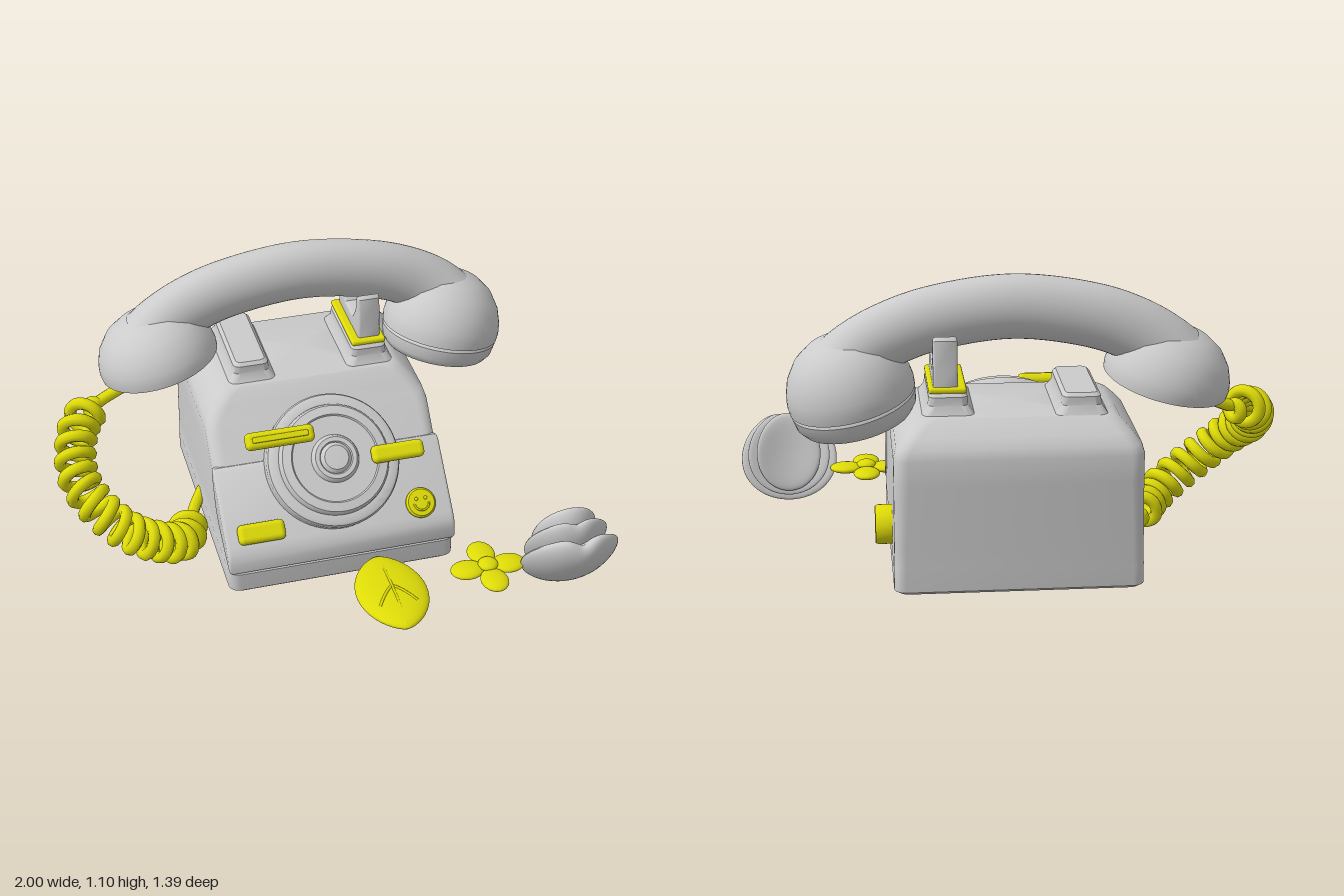
import * as THREE from 'three';
import { toCreasedNormals } from 'three/addons/utils/BufferGeometryUtils.js';
import { RoundedBoxGeometry } from 'three/addons/geometries/RoundedBoxGeometry.js';
import { ParametricGeometry } from 'three/addons/geometries/ParametricGeometry.js';

const grey = new THREE.MeshStandardMaterial({ color: 0xcbcbcb, name: 'pale grey' });
const yellow = new THREE.MeshStandardMaterial({ color: 0xdedb08, name: 'yellow' });
const V = (x, y, z) => new THREE.Vector3(x, y, z);

function add(parent, name, geometry, material, x = 0, y = 0, z = 0) {
  const mesh = new THREE.Mesh(geometry, material);
  mesh.name = name;
  mesh.position.set(x, y, z);
  parent.add(mesh);
  return mesh;
}

function group(parent, name, x = 0, y = 0, z = 0) {
  const g = new THREE.Group();
  g.name = name;
  g.position.set(x, y, z);
  parent.add(g);
  return g;
}

function lathe(profile, segments = 56) {
  const points = profile.map(([r, y]) => new THREE.Vector2(r, y));
  return toCreasedNormals(new THREE.LatheGeometry(points, segments), 0.6);
}

// Stacks rounded rectangles: each section is [y, x0, x1, z0, z1, cornerRadius]
function loft(sections) {
  const pos = [], index = [], corner = 6, n = 4 * (corner + 1);
  for (const [y, x0, x1, z0, z1, r] of sections) {
    const centres = [[x1 - r, z1 - r], [x0 + r, z1 - r], [x0 + r, z0 + r], [x1 - r, z0 + r]];
    centres.forEach(([cx, cz], q) => {
      for (let k = 0; k <= corner; k++) {
        const a = (q + k / corner) * Math.PI / 2;
        pos.push(cx + r * Math.cos(a), y, cz + r * Math.sin(a));
      }
    });
  }
  const last = (sections.length - 1) * n, bottom = sections.length * n;
  for (const [y, x0, x1, z0, z1] of [sections[0], sections[sections.length - 1]]) {
    pos.push((x0 + x1) / 2, y, (z0 + z1) / 2);
  }
  for (let j = 0; j < n; j++) {
    const k = (j + 1) % n;
    for (let s = 0; s < last; s += n) {
      index.push(s + j, s + n + j, s + k, s + k, s + n + j, s + n + k);
    }
    index.push(bottom, j, k, bottom + 1, last + k, last + j);
  }
  const g = new THREE.BufferGeometry();
  g.setAttribute('position', new THREE.Float32BufferAttribute(pos, 3));
  g.setIndex(index);
  return toCreasedNormals(g, 0.6);
}

// Extrudes a [z, y] outline from x0 to x1 with softened edges
function extrudeX(outline, x0, x1, bevel) {
  const shape = new THREE.Shape(outline.map(([z, y]) => new THREE.Vector2(-z, y)));
  const g = new THREE.ExtrudeGeometry(shape, {
    depth: x1 - x0 - 2 * bevel, bevelSize: bevel, bevelThickness: bevel, bevelOffset: -bevel, bevelSegments: 4,
  });
  g.rotateY(Math.PI / 2).translate(x0 + bevel, 0, 0);
  return toCreasedNormals(g, 0.6);
}

// Frame on the 45 degree front slope: u runs up the slope, d outwards
function onSlope(parent, name, x, u, d) {
  const g = group(parent, name, x, (d + u) * Math.SQRT1_2, (d - u) * Math.SQRT1_2);
  g.rotation.x = Math.PI / 4;
  return g;
}

function buildBody(root) {
  const body = group(root, 'body');
  add(body, 'housing', loft([
    [0.05, -0.42, 0.42, -0.69, 0.27, 0.04], [0.06, -0.433, 0.433, -0.7, 0.28, 0.04],
    [0.135, -0.433, 0.433, -0.7, 0.28, 0.04], [0.142, -0.431, 0.431, -0.7, 0.268, 0.04],
    [0.21, -0.431, 0.431, -0.7, 0.25, 0.04], [0.44, -0.43, 0.43, -0.7, 0.025, 0.05],
    [0.53, -0.43, 0.43, -0.7, -0.06, 0.05], [0.565, -0.42, 0.42, -0.69, -0.095, 0.05],
    [0.6, -0.39, 0.39, -0.66, -0.13, 0.05], [0.635, -0.355, 0.355, -0.62, -0.16, 0.05],
    [0.65, -0.33, 0.33, -0.6, -0.18, 0.05],
  ]), grey);
  add(body, 'frontPanel', extrudeX([
    [0.282, 0.145], [0.282, 0.19], [0.27, 0.222], [0.25, 0.245], [0.045, 0.437], [0.025, 0.445],
    [0.008, 0.44], [0.005, 0.42], [0.035, 0.33], [0.06, 0.28], [0.11, 0.235],
  ], -0.436, 0.436, 0.014), grey);

  // Cradle stands: a plain one and one with a rim and two horns
  const stand = (x, z0, z1) => loft([
    [0.6, x - 0.12, x + 0.12, z0 - 0.04, z1 + 0.05, 0.03], [0.65, x - 0.09, x + 0.09, z0 - 0.02, z1 + 0.02, 0.03],
    [0.68, x - 0.07, x + 0.07, z0, z1, 0.025], [0.71, x - 0.067, x + 0.067, z0, z1, 0.025],
    [0.722, x - 0.055, x + 0.055, z0 + 0.012, z1 - 0.012, 0.02],
  ]);
  add(body, 'plainCradle', stand(-0.222, -0.58, -0.22), grey);
  add(body, 'hornCradle', stand(0.235, -0.55, -0.22), grey);
  add(body, 'cradleRim', new RoundedBoxGeometry(0.132, 0.022, 0.315, 3, 0.01), yellow, 0.236, 0.73, -0.385);
  add(body, 'cradleHorns', extrudeX([
    [-0.53, 0.73], [-0.25, 0.73], [-0.25, 0.8], [-0.262, 0.9], [-0.275, 0.912], [-0.292, 0.9],
    [-0.3, 0.84], [-0.34, 0.79], [-0.44, 0.79], [-0.48, 0.84], [-0.488, 0.9], [-0.502, 0.912],
    [-0.518, 0.9], [-0.53, 0.8],
  ], 0.2, 0.285, 0.01), grey);
}

function buildDial(root) {
  const dial = onSlope(root, 'dial', 0.007, 0.252, 0.33);
  add(dial, 'dialDisc', lathe([
    [0, -0.02], [0.25, -0.02], [0.252, 0.06], [0.246, 0.074], [0.235, 0.08], [0.208, 0.08], [0.205, 0.1],
    [0.198, 0.108], [0.165, 0.112], [0.16, 0.106], [0.09, 0.106], [0.085, 0.12], [0.078, 0.127],
    [0.062, 0.127], [0.058, 0.12], [0.054, 0.127], [0.045, 0.135], [0, 0.137],
  ], 72), grey);
  // Bars across the slope
  [[-0.19, 0.357, 0.465, 0.26, 0.065], [0.24, 0.24, 0.452, 0.2, 0.066], [-0.3, 0.035, 0.36, 0.178, 0.075]]
    .forEach(([x, u, d, w, h], i) => {
      const bar = onSlope(root, 'bar' + (i + 1), x, u, d);
      add(bar, 'barBlock', new RoundedBoxGeometry(w, 0.045, h, 4, 0.02), yellow);
      if (i === 0) add(bar, 'barRidge', new RoundedBoxGeometry(w - 0.05, 0.012, 0.022, 3, 0.005), yellow, 0, 0.024, 0);
    });
  // Smiling button
  const smile = onSlope(root, 'smileButton', 0.315, 0.046, 0.34);
  add(smile, 'button', lathe([[0, -0.01], [0.056, -0.01], [0.057, 0.018], [0.05, 0.027], [0, 0.03]], 40), yellow);
  for (const side of [-1, 1]) {
    add(smile, 'eye', new THREE.SphereGeometry(0.007, 12, 8), yellow, side * 0.018, 0.029, -0.015);
  }
  const mouth = new THREE.TorusGeometry(0.028, 0.004, 6, 20, Math.PI);
  add(smile, 'mouth', mouth.rotateZ(Math.PI).rotateX(-Math.PI / 2), yellow, 0, 0.029, 0.002);
}

function buildSideKnob(root) {
  const knob = group(root, 'sideKnob', 0.43, 0.218, -0.44);
  knob.rotation.z = -Math.PI / 2;
  add(knob, 'knobDisc', lathe([[0, -0.01], [0.07, -0.01], [0.07, 0.05], [0.066, 0.06], [0.06, 0.06],
    [0.056, 0.05], [0, 0.052]], 40), yellow);
  for (let i = 0; i < 6; i++) {
    const curve = new THREE.QuadraticBezierCurve3(V(0.006, 0.052, 0), V(0.03, 0.055, 0.024), V(0.057, 0.053, 0.004));
    add(knob, 'swirl', new THREE.TubeGeometry(curve, 10, 0.006, 6), yellow).rotation.y = i * Math.PI / 3;
  }
}

function buildHandset(root) {
  const handset = group(root, 'handset');
  const path = new THREE.CatmullRomCurve3([
    V(-0.585, 0.79, 0), V(-0.52, 0.842, 0), V(-0.42, 0.9, 0), V(-0.28, 0.95, 0), V(0, 0.988, 0),
    V(0.28, 0.95, 0), V(0.43, 0.897, 0), V(0.53, 0.84, 0), V(0.6, 0.78, 0),
  ]);
  // Grip: an arched oval tube that widens into the bells
  add(handset, 'grip', new ParametricGeometry((u, v, target) => {
    const p = path.getPoint(u), t = path.getTangent(u), a = v * Math.PI * 2;
    const k = Math.abs(2 * u - 1) ** 4, c = 0.114 * Math.cos(a);
    target.set(p.x - t.y * c, p.y + t.x * c, -0.395 + 0.03 * k - (0.09 + 0.05 * k) * Math.sin(a));
  }, 56, 36), grey);

  const dome = [[0.225, 0], [0.227, 0.025], [0.222, 0.055], [0.205, 0.1], [0.168, 0.148], [0.115, 0.183],
    [0.06, 0.198], [0, 0.202]];
  const left = add(handset, 'earBell', lathe([[0, 0.006], [0.2, 0.006], [0.212, -0.004], ...dome]),
    grey, -0.545, 0.7, -0.36);
  left.rotation.set(-0.13, 0, 0.22);
  const right = group(handset, 'mouthBell', 0.56, 0.665, -0.36);
  right.rotation.set(-0.13, 0, -0.22);
  add(right, 'mouthDome', lathe([[0, 0], ...dome]), grey).scale.y = 1.15;
  add(right, 'mouthCap', lathe([[0, -0.07], [0.11, -0.07], [0.125, -0.09], [0.165, -0.093], [0.198, -0.08],
    [0.216, -0.055], [0.223, -0.012], [0.218, -0.002], [0, 0]]), grey);
}

function buildCord(root) {
  const path = new THREE.CatmullRomCurve3([
    V(-0.6, 0.69, -0.34), V(-0.68, 0.635, -0.33), V(-0.8, 0.58, -0.31), V(-0.88, 0.55, -0.23), V(-0.92, 0.45, -0.07),
    V(-0.87, 0.37, 0.04), V(-0.77, 0.27, 0.09), V(-0.65, 0.18, 0.07), V(-0.56, 0.12, 0.01),
    V(-0.51, 0.105, -0.09), V(-0.47, 0.11, -0.19), V(-0.42, 0.12, -0.28),
  ]);
  const steps = 420, frames = path.computeFrenetFrames(steps, false), points = [];
  for (let i = 0; i <= steps; i++) {
    const t = i / steps, a = t * 23 * Math.PI * 2;
    // Coiled in the middle, straight at both ends
    const r = 0.057 * THREE.MathUtils.smoothstep(t, 0.15, 0.2) * (1 - THREE.MathUtils.smoothstep(t, 0.84, 0.9));
    points.push(path.getPointAt(t)
      .addScaledVector(frames.normals[i], r * Math.cos(a))
      .addScaledVector(frames.binormals[i], r * Math.sin(a)));
  }
  add(root, 'coiledCord', new THREE.TubeGeometry(new THREE.CatmullRomCurve3(points), 900, 0.023, 8), yellow);
}

// Reshapes a unit sphere by a rule that edits each vertex
function reshapedSphere(rule) {
  const g = new THREE.SphereGeometry(1, 40, 28), p = g.attributes.position, v = V(0, 0, 0);
  for (let i = 0; i < p.count; i++) {
    rule(v.fromBufferAttribute(p, i));
    p.setXYZ(i, v.x, v.y, v.z);
  }
  g.computeVertexNormals();
  return g;
}

function buildPlants(root) {
  // Leaf with raised veins
  const leaf = group(root, 'leaf', 0.125, 0.112, 0.49);
  add(leaf, 'leafBlade', reshapedSphere(v => {
    const taper = Math.max(0, 1 - v.z * v.z) ** 0.15;
    v.set(v.x * 0.133 * taper, v.y * 0.034, v.z * 0.205);
  }), yellow);
  const vein = (a, b, c) => add(leaf, 'vein',
    new THREE.TubeGeometry(new THREE.QuadraticBezierCurve3(a, b, c), 14, 0.006, 6), yellow);
  vein(V(0, 0.008, -0.19), V(0, 0.056, 0), V(0, 0.008, 0.19));
  for (const s of [-1, 1]) vein(V(0, 0.032, 0), V(s * 0.035, 0.034, 0.03), V(s * 0.07, 0.022, 0.09));

  // Four-petal blossom
  const blossom = group(root, 'blossom', 0.505, 0.128, 0.46);
  for (let i = 0; i < 4; i++) {
    const a = i * Math.PI / 2;
    const petal = add(blossom, 'petal', new THREE.SphereGeometry(1, 24, 16), yellow, Math.cos(a) * 0.08, 0, Math.sin(a) * 0.08);
    petal.scale.set(0.064, 0.019, 0.052);
    petal.rotation.y = -a;
  }
  add(blossom, 'blossomCentre', new THREE.SphereGeometry(1, 24, 16), yellow, 0, 0.012, 0).scale.set(0.038, 0.019, 0.038);

  // Cupped bud: a broad front petal and two narrower ones behind it
  const bud = group(root, 'bud', 0.81, 0, 0);
  const petal = (name, w, h, y0, z0, thick, lean, curl, notch) => add(bud, name, reshapedSphere(v => {
    const { x, y, z } = v;
    const dip = notch * Math.exp(-((x / 0.22) ** 2)) * Math.max(0, y);
    v.set(w * x, y0 + h * y - dip, z0 + thick * z + lean * y - 0.03 * y * y - curl * x * x);
  }), grey);
  petal('frontPetal', 0.188, 0.16, 0.162, 0.565, 0.048, 0.08, 0.07, 0.035);
  petal('middlePetal', 0.16, 0.155, 0.19, 0.51, 0.035, 0.06, 0.06, 0.02);
  petal('backPetal', 0.125, 0.15, 0.205, 0.475, 0.04, 0.035, 0.05, 0);
}

export function createModel() {
  const root = new THREE.Group();
  root.name = 'telephone';
  [buildBody, buildDial, buildSideKnob, buildHandset, buildCord, buildPlants].forEach(build => build(root));
  return root;
}
